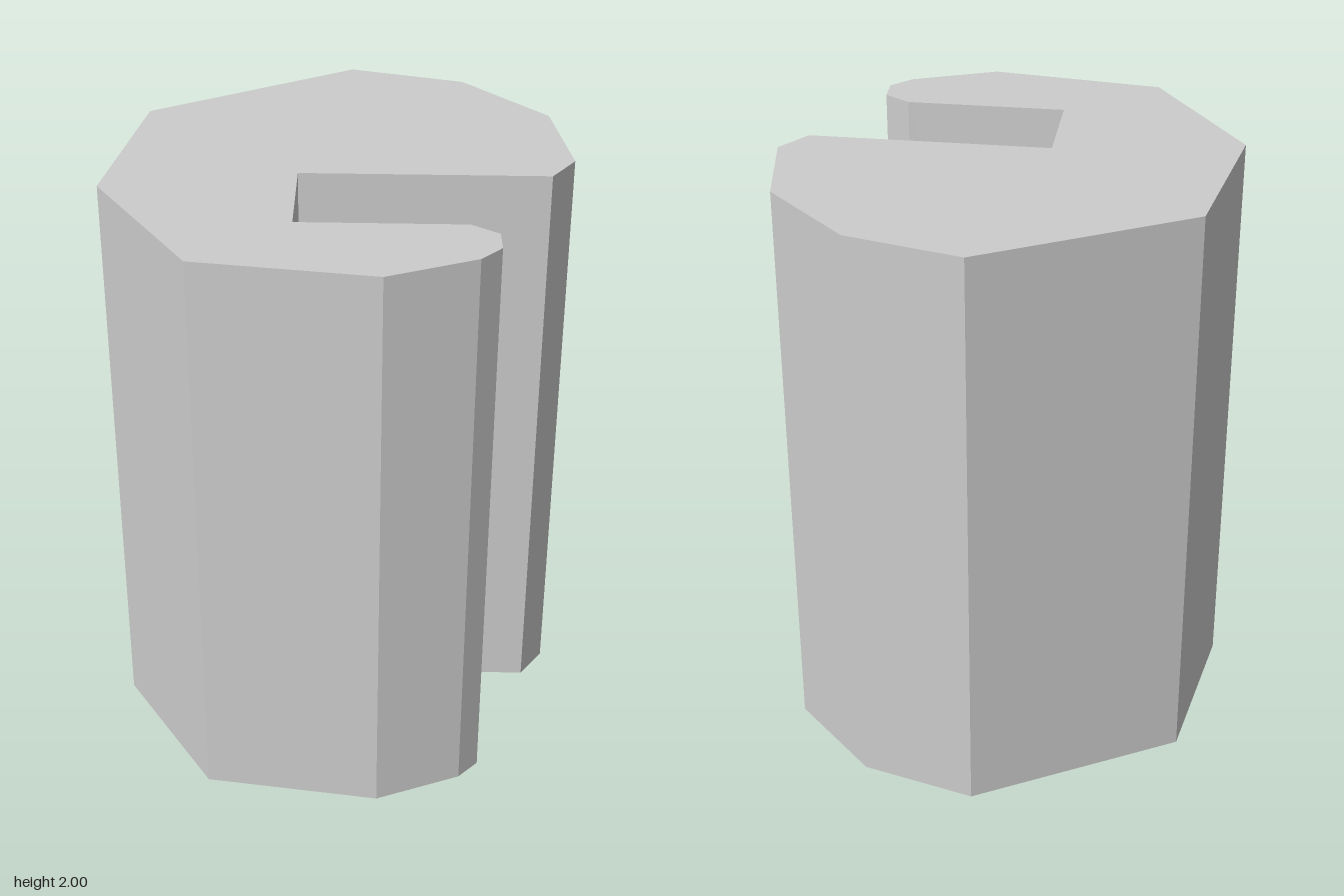
import * as THREE from 'three';

const HEIGHT = 2;

// Plan outline as [x, z], including the open slot on the left side
const OUTLINE = [
  [0.02, -0.76], [0.4, -0.66], [0.68, -0.38], [0.742, -0.03], [0.665, 0.083],
  [-0.13, 0.083], [-0.13, 0.422],
  [0.4, 0.422], [0.487, 0.48], [0.49, 0.57], [0.425, 0.64], [0.145, 0.757],
  [-0.43, 0.68], [-0.745, 0.195], [-0.645, -0.38],
];

export function createModel() {
  const group = new THREE.Group();
  group.name = 'slottedBlock';
  const grey = new THREE.MeshStandardMaterial({ color: 0xcccccc, flatShading: true });
  grey.name = 'light grey';

  // Upright body with a slot running its full height
  const shape = new THREE.Shape(OUTLINE.map(([x, z]) => new THREE.Vector2(x, -z)));
  const bodyGeometry = new THREE.ExtrudeGeometry(shape, { depth: HEIGHT, bevelEnabled: false });
  bodyGeometry.rotateX(-Math.PI / 2);
  const body = new THREE.Mesh(bodyGeometry, grey);
  body.name = 'body';
  group.add(body);

  // Tapered eight-sided pin bridging the slot
  const back = 0.083, front = 0.422;
  const pinGeometry = new THREE.CylinderGeometry(0.298, 0.328, front - back, 8, 1, true);
  pinGeometry.rotateX(Math.PI / 2);
  const pin = new THREE.Mesh(pinGeometry, grey);
  pin.name = 'crossPin';
  pin.position.set(0.035, HEIGHT / 2, (front + back) / 2);
  group.add(pin);

  return group;
}
